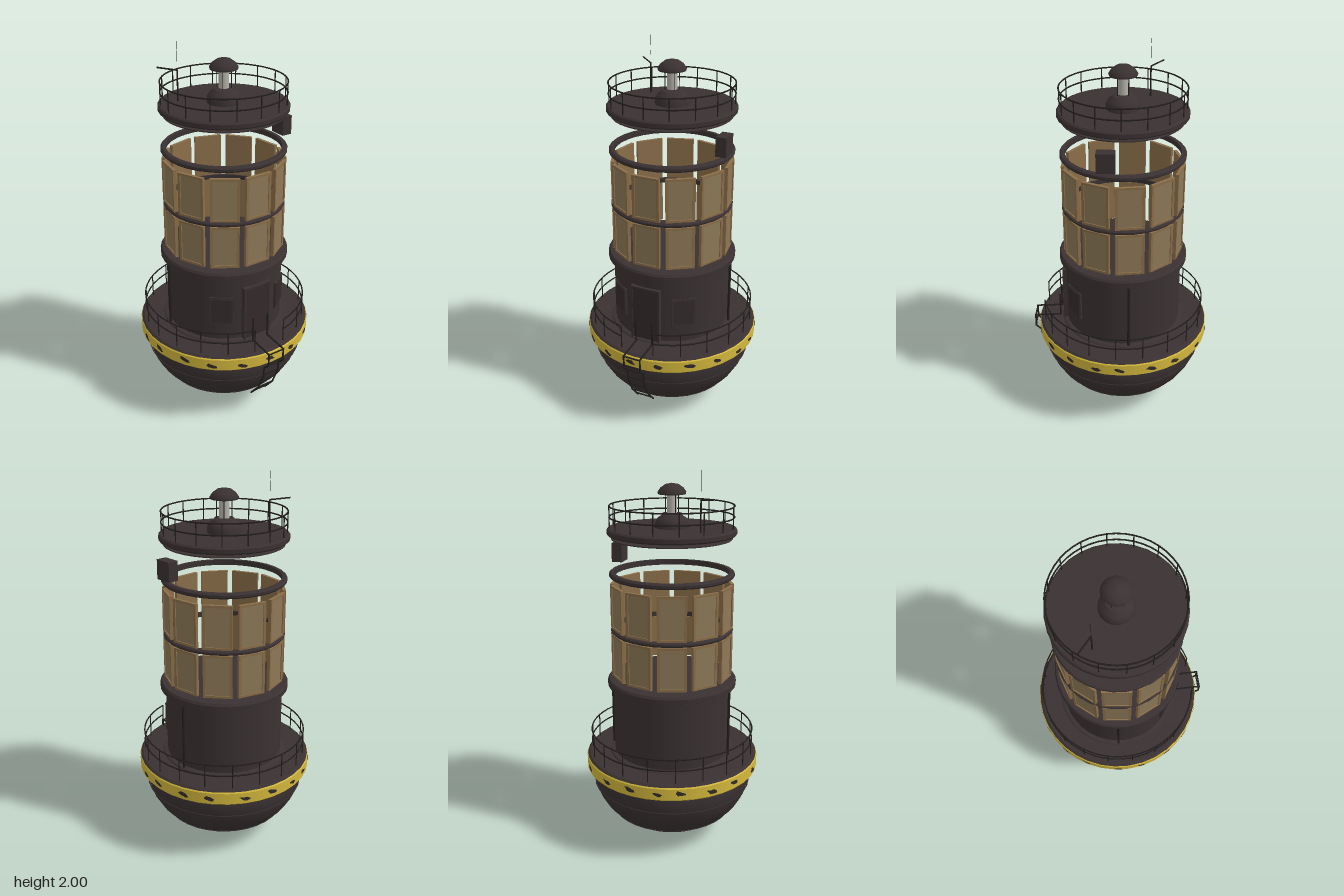
import * as THREE from 'three';

const mat = (name, color, side = THREE.FrontSide) => {
  const m = new THREE.MeshStandardMaterial({ color, side });
  m.name = name;
  return m;
};

export function createModel() {
  const dark = mat('darkSteel', 0x3a3132);
  const door = mat('darkPlate', 0x352b2b);
  const black = mat('railBlack', 0x231f1f);
  const yellow = mat('yellowPaint', 0xd4b83c);
  const tan = mat('tanFrame', 0x8a6e49);
  const glass = mat('tanGlass', 0x8c7857);
  const lampGlass = mat('lampGlass', 0xb5b2a8);
  const chip = mat('chippedPaint', 0x332c2b, THREE.DoubleSide);

  const model = new THREE.Group();
  const tower = new THREE.Group();
  tower.name = 'tower';
  tower.position.z = -0.015;
  model.add(tower);

  const add = (name, geo, material, parent = tower, x = 0, y = 0, z = 0) => {
    const m = new THREE.Mesh(geo, material);
    m.name = name;
    m.position.set(x, y, z);
    parent.add(m);
    return m;
  };
  // Revolved profile; each segment gets its own normals where the edge is sharp
  const lathe = (name, pts, material, seg = 32) =>
    add(name, new THREE.LatheGeometry(pts.map(p => new THREE.Vector2(p[0], p[1])), seg), material);
  // Square-edged ring or disc
  const ring = (name, rIn, rOut, y0, y1, material) => {
    const b = Math.min(0.008, (y1 - y0) / 3);
    lathe(name, [[rIn, y0], [rOut - b, y0], [rOut - b, y0], [rOut, y0 + b], [rOut, y0 + b], [rOut, y1 - b],
      [rOut, y1 - b], [rOut - b, y1], [rOut - b, y1], [rIn, y1], [rIn, y1], [rIn, y0]], material);
  };
  // Group facing outward at an angle measured from the front
  const facing = (name, a) => {
    const g = new THREE.Group();
    g.name = name;
    g.rotation.y = a;
    tower.add(g);
    return g;
  };
  const rod = (name, pts, r, parent = tower, material = black) => {
    const path = new THREE.CurvePath();
    const v = pts.map(p => new THREE.Vector3(...p));
    for (let i = 1; i < v.length; i++) {
      const d = v[i].clone().sub(v[i - 1]);
      const m = add(name, new THREE.CylinderGeometry(r, r, d.length() + r, 6), material, parent);
      m.position.copy(v[i]).add(v[i - 1]).multiplyScalar(0.5);
      m.quaternion.setFromUnitVectors(new THREE.Vector3(0, 1, 0), d.normalize());
    }
  };
  // Guard rail with posts, optionally open at the front
  const railing = (name, r, y0, heights, posts, gap) => {
    const arc = Math.PI * 2 - gap * 2;
    heights.forEach(y => {
      const m = add(name + 'Rail', new THREE.TorusGeometry(r, 0.004, 5, 48, arc), black, tower, 0, y, 0);
      m.rotation.set(-Math.PI / 2, 0, gap - Math.PI / 2);
    });
    const top = Math.max(...heights);
    for (let i = 0; i <= posts; i++) {
      const a = gap + arc * i / posts;
      rod(name + 'Post', [[Math.sin(a) * r, y0, Math.cos(a) * r], [Math.sin(a) * r, top, Math.cos(a) * r]], 0.003);
    }
  };

  // Floating hull with bottom plug
  lathe('hull', [[0, 0.028], [0.07, 0.032], [0.18, 0.053], [0.26, 0.09], [0.325, 0.135], [0.375, 0.19],
    [0.41, 0.25], [0.428, 0.31], [0.432, 0.36], [0.425, 0.4]], dark, 36);
  add('bottomPlug', new THREE.CylinderGeometry(0.068, 0.05, 0.035, 16), dark, tower, 0, 0.0225, 0);
  [[0.429, 0.3], [0.331, 0.14]].forEach(([r, y]) => {
    add('hullSeam', new THREE.TorusGeometry(r, 0.003, 4, 36), dark, tower, 0, y, 0).rotation.x = Math.PI / 2;
  });

  // Yellow fender band and deck
  lathe('fenderBand', [[0.42, 0.394], [0.462, 0.394], [0.462, 0.394], [0.47, 0.402], [0.47, 0.402],
    [0.47, 0.462], [0.47, 0.462], [0.464, 0.47]], yellow, 36);
  lathe('deck', [[0.466, 0.469], [0.455, 0.479], [0.455, 0.479], [0.34, 0.481], [0.34, 0.481], [0.335, 0.492], [0.3, 0.493]], dark, 36);

  // Irregular paint chips bent around the band
  let seed = 7;
  const rnd = () => (seed = (seed * 16807) % 2147483647) / 2147483647;
  for (let i = 0; i < 19; i++) {
    const s = new THREE.Shape();
    for (let k = 0; k < 8; k++) {
      const a = k / 8 * Math.PI * 2, q = 0.55 + rnd() * 0.55;
      const v = Math.sin(a) * 0.016 * q;
      const u = Math.cos(a) * 0.03 * q - v * 0.9;
      k ? s.lineTo(u, v) : s.moveTo(u, v);
    }
    const g = new THREE.ShapeGeometry(s);
    const p = g.attributes.position, c = i / 19 * Math.PI * 2 - 0.07 + (rnd() - 0.5) * 0.1;
    const up = 0.425 + rnd() * 0.015;
    for (let k = 0; k < p.count; k++) {
      const a = c + p.getX(k) / 0.47;
      p.setXYZ(k, Math.sin(a) * 0.4725, up + p.getY(k), Math.cos(a) * 0.4725);
    }
    g.computeVertexNormals();
    add('paintChip', g, chip);
  }
  railing('deckRail', 0.44, 0.475, [0.61, 0.55], 18, 0.21);

  // Lower cabin
  add('cabinWall', new THREE.CylinderGeometry(0.315, 0.315, 0.4, 36), dark, tower, 0, 0.68, 0);
  add('cabinCornice', new THREE.CylinderGeometry(0.337, 0.345, 0.012, 36), dark, tower, 0, 0.899, 0);
  add('cabinCorniceSide', new THREE.CylinderGeometry(0.345, 0.345, 0.026, 36), dark, tower, 0, 0.88, 0);
  add('cabinCorniceUnder', new THREE.CylinderGeometry(0.345, 0.33, 0.007, 36), dark, tower, 0, 0.8635, 0);
  add('door', new THREE.BoxGeometry(0.15, 0.305, 0.03), door, tower, -0.005, 0.64, 0.309);
  [-0.083, 0.073].forEach(x => add('doorJamb', new THREE.BoxGeometry(0.01, 0.32, 0.04), dark, tower, x, 0.64, 0.308));
  add('doorLintel', new THREE.BoxGeometry(0.166, 0.01, 0.04), dark, tower, -0.005, 0.797, 0.308);
  [-1, 1].forEach(s => {
    const g = facing('cabinWindow', s * 0.63);
    add('windowFrame', new THREE.BoxGeometry(0.125, 0.16, 0.02), dark, g, 0, 0.668, 0.308);
    add('windowPane', new THREE.BoxGeometry(0.105, 0.14, 0.006), door, g, 0, 0.668, 0.318);
    rod('wallPipe', [[s * 0.326, 0.49, -0.04], [s * 0.326, 0.85, -0.04]], 0.007);
  });

  // Two storeys of eleven separate glazed panels
  [1.04, 1.3].forEach(y => {
    for (let i = 0; i < 11; i++) {
      const g = facing('glazedPanel', i / 11 * Math.PI * 2);
      add('panelBack', new THREE.BoxGeometry(0.148, 0.23, 0.008), tan, g, 0, y, 0.3);
      add('panelGlass', new THREE.BoxGeometry(0.124, 0.206, 0.004), glass, g, 0, y, 0.3055);
      [-1, 1].forEach(s => {
        add('panelStile', new THREE.BoxGeometry(0.014, 0.23, 0.016), tan, g, s * 0.067, y, 0.305);
        add('panelCrossbar', new THREE.BoxGeometry(0.12, 0.012, 0.016), tan, g, 0, y + s * 0.109, 0.305);
      });
    }
  });
  ring('middleRing', 0.295, 0.322, 1.158, 1.182, dark);
  ring('upperRing', 0.298, 0.325, 1.45, 1.478, dark);

  // Roof platform
  add('roofSoffit', new THREE.CylinderGeometry(0.31, 0.31, 0.005, 36), dark, tower, 0, 1.649, 0);
  ring('roofPlatform', 0, 0.332, 1.666, 1.702, dark);
  railing('roofRail', 0.317, 1.7, [1.812, 1.757], 16, 0);

  // Beacon lamp
  lathe('lampBase', [[0.088, 1.7], [0.086, 1.728], [0.074, 1.75], [0.054, 1.762], [0.05, 1.774], [0, 1.774]], dark, 16);
  add('lampLens', new THREE.CylinderGeometry(0.026, 0.026, 0.1, 12), lampGlass, tower, 0, 1.822, 0);
  for (let i = 0; i < 4; i++) {
    const a = (i + 0.5) * Math.PI / 2;
    rod('lampPost', [[Math.sin(a) * 0.038, 1.77, Math.cos(a) * 0.038], [Math.sin(a) * 0.038, 1.875, Math.cos(a) * 0.038]], 0.002);
  }
  lathe('lampCap', [[0, 1.868], [0.07, 1.868], [0.07, 1.868], [0.073, 1.878], [0.06, 1.898], [0.035, 1.916], [0, 1.923]], dark, 16);

  // Aerial and detached lamp box
  rod('aerialArm', [[-0.185, 1.702, -0.15], [-0.185, 1.858, -0.15], [-0.26, 1.868, -0.215]], 0.004, model);
  add('aerialWhip', new THREE.CylinderGeometry(0.0012, 0.0012, 0.1, 5), black, model, -0.185, 1.95, -0.15);
  add('sideBox', new THREE.BoxGeometry(0.056, 0.1, 0.092), dark, model, 0.313, 1.55, 0.058);

  // Boarding ladder
  [-0.047, 0.047].forEach(x => rod('ladderRail', [[x, 0.13, 0.33], [x, 0.21, 0.395], [x, 0.31, 0.437], [x, 0.37, 0.442],
    [x, 0.405, 0.479], [x, 0.477, 0.479], [x, 0.487, 0.335], [x, 0.62, 0.335]], 0.005, model));
  [[0.15, 0.346], [0.21, 0.395], [0.265, 0.418], [0.32, 0.437], [0.37, 0.442], [0.42, 0.479], [0.475, 0.479]].forEach(([y, z]) =>
    rod('ladderRung', [[-0.047, y, z], [0.047, y, z]], 0.004, model));

  return model;
}
